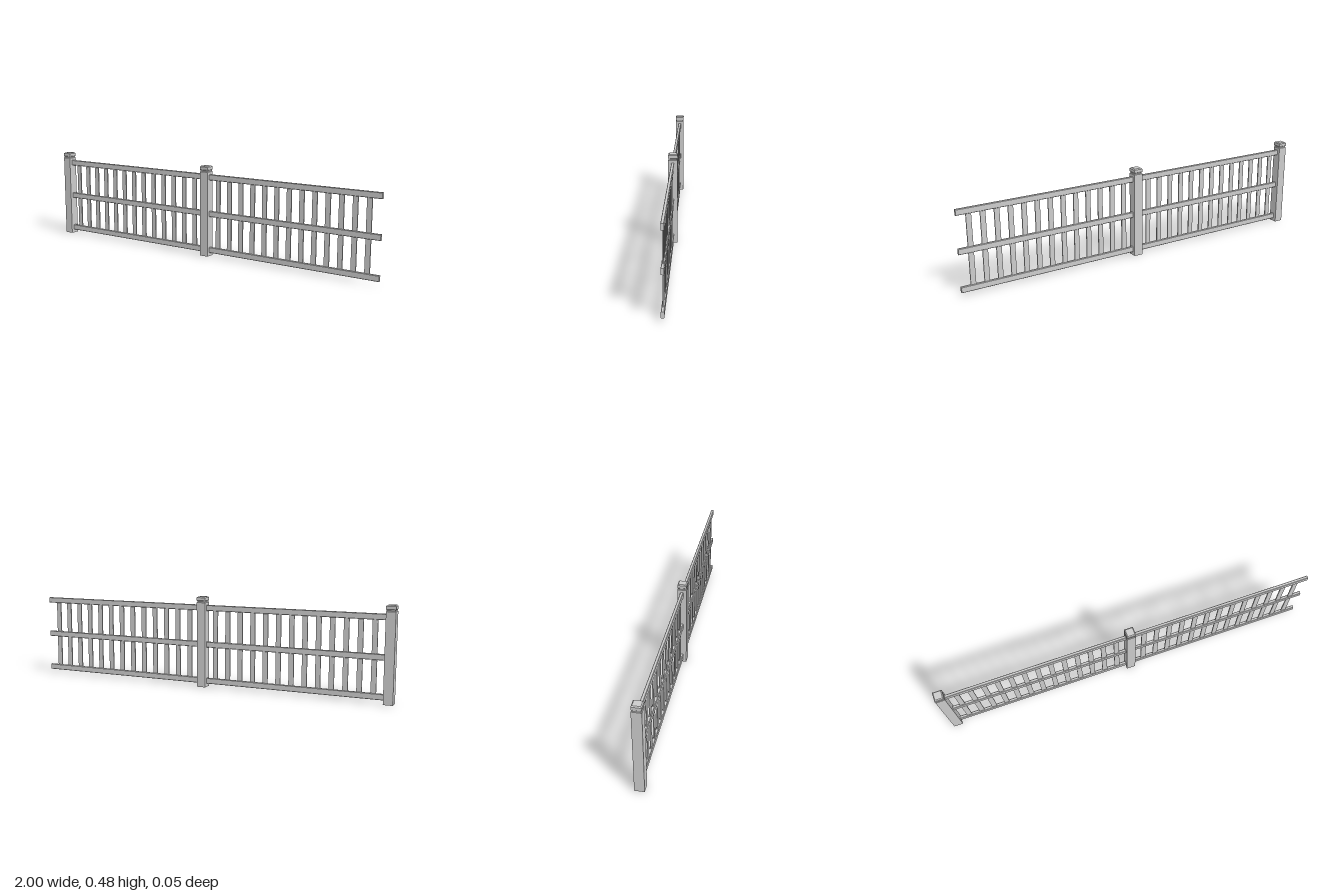
import * as THREE from 'three';

const material = new THREE.MeshStandardMaterial({ color: 0xcccccc, flatShading: true });

// Square-section solid turned from a profile of [half width, height] pairs
function squareTurned(profile) {
  const points = profile.map(([h, y]) => new THREE.Vector2(h * Math.SQRT2, y));
  return new THREE.LatheGeometry(points, 4).rotateY(Math.PI / 4);
}

// Rail running along +x from the origin, with chamfered long edges
function railGeometry(length, height, depth, c) {
  const a = depth / 2, b = height / 2;
  const shape = new THREE.Shape([
    [a, -b + c], [a, b - c], [a - c, b], [-a + c, b],
    [-a, b - c], [-a, -b + c], [-a + c, -b], [a - c, -b],
  ].map(([x, y]) => new THREE.Vector2(x, y)));
  return new THREE.ExtrudeGeometry(shape, { depth: length, bevelEnabled: false }).rotateY(Math.PI / 2);
}

export function createModel() {
  const fence = new THREE.Group();
  fence.name = 'fence';

  const HALF = 0.024;
  const postGeo = squareTurned([[0, 0], [HALF, 0], [HALF, 0.451], [HALF - 0.004, 0.455], [0, 0.455]]);
  const neckGeo = squareTurned([[0.0215, 0.454], [0.0215, 0.461]]);
  const capGeo = squareTurned([
    [0, 0.459], [HALF - 0.003, 0.459], [HALF, 0.462], [HALF, 0.477], [HALF - 0.005, 0.482], [0, 0.482],
  ]);
  const railGeo = railGeometry(0.982 - 0.02, 0.03, 0.015, 0.002);
  const balusterGeo = new THREE.BoxGeometry(0.027, 0.38, 0.006);

  const add = (parent, name, geometry, x = 0, y = 0) => {
    const mesh = new THREE.Mesh(geometry, material);
    mesh.name = name;
    mesh.position.set(x, y, 0);
    parent.add(mesh);
  };

  // Two identical bays, each a post followed by its railing
  [-0.976, 0.018].forEach((x) => {
    const bay = new THREE.Group();
    bay.name = 'bay';
    bay.position.x = x;
    add(bay, 'post', postGeo);
    add(bay, 'postNeck', neckGeo);
    add(bay, 'postCap', capGeo);
    [['bottomRail', 0.033], ['middleRail', 0.228], ['topRail', 0.423]]
      .forEach(([name, y]) => add(bay, name, railGeo, 0.02, y));
    for (let i = 0; i < 13; i++) add(bay, 'baluster', balusterGeo, 0.077 + i * 0.0702, 0.228);
    fence.add(bay);
  });

  return fence;
}
